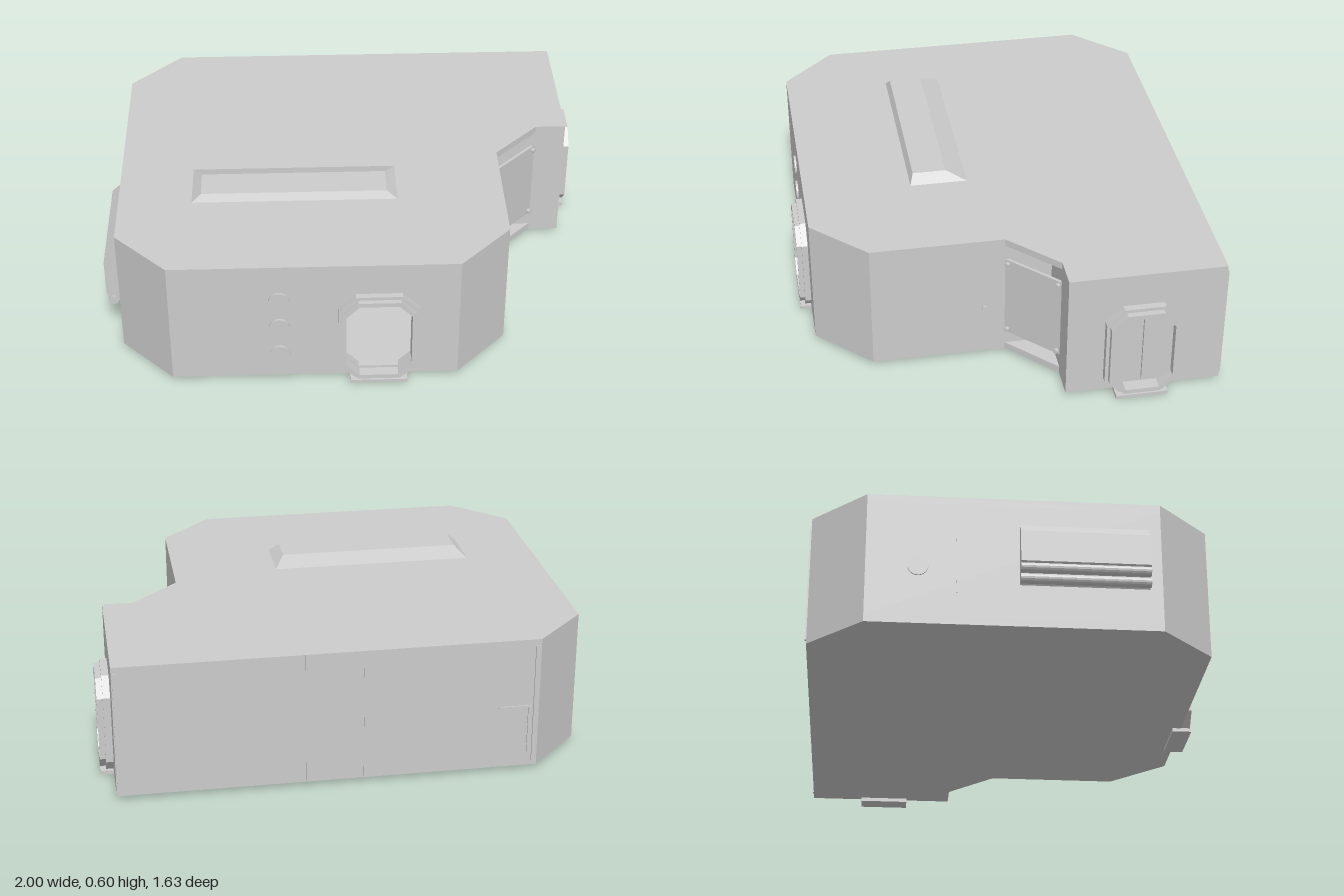
import * as THREE from 'three';

const mat = new THREE.MeshStandardMaterial({ color: 0xcccccc, flatShading: true, side: THREE.DoubleSide });

// Footprint corners as [x, z]; the slabs span the notch with a diagonal, the walls step into it
const east = [[-0.73, -0.817], [0.947, -0.817], [0.947, -0.19]];
const west = [[0.63, 0.54], [0.42, 0.757], [-0.73, 0.757], [-0.942, 0.54], [-0.942, -0.6]];
const slabOutline = [...east, [0.82, -0.19], [0.63, 0], ...west];
const wallOutline = [...east, [0.63, -0.19], ...west];
const FLOOR = 0.018, ROOF = 0.566, PLATE = 0.03;

function add(parent, name, geometry, x = 0, y = 0, z = 0) {
  const mesh = new THREE.Mesh(geometry, mat);
  mesh.name = name;
  mesh.position.set(x, y, z);
  parent.add(mesh);
  return mesh;
}

const box = (parent, name, w, h, d, x, y, z) => add(parent, name, new THREE.BoxGeometry(w, h, d), x, y, z);
const polygon = (pts) => new THREE.Shape(pts.map(([x, y]) => new THREE.Vector2(x, y)));
const extrude = (shape, depth) => new THREE.ExtrudeGeometry(shape, { depth, bevelEnabled: false });

// Rectangle with cut corners, centred on (cx, cy)
function octagon(w, h, c, cx = 0, cy = 0) {
  const x = w / 2, y = h / 2;
  return [[-x + c, -y], [x - c, -y], [x, -y + c], [x, y - c], [x - c, y], [-x + c, y], [-x, y - c], [-x, -y + c]]
    .map(([a, b]) => [a + cx, b + cy]);
}

function slab(parent, name, y) {
  const geo = extrude(polygon(slabOutline.map(([x, z]) => [x, -z])), PLATE);
  geo.rotateX(-Math.PI / 2);
  add(parent, name, geo, 0, y, 0);
}

// Upright panel between two footprint corners, its outer face on the outline
function wall(parent, name, a, b, hole) {
  const length = Math.hypot(a[0] - b[0], a[1] - b[1]);
  const low = FLOOR + PLATE, high = ROOF - PLATE;
  const shape = polygon([[0, low], [length, low], [length, high], [0, high]]);
  if (hole) shape.holes.push(polygon(hole));
  const geo = extrude(shape, PLATE);
  geo.translate(0, 0, -PLATE);
  add(parent, name, geo, b[0], 0, b[1]).rotation.y = Math.atan2(b[1] - a[1], a[0] - b[0]);
}

// Stepped door surround facing local +z
function doorFrame(name, w, h, depth) {
  const group = new THREE.Group();
  group.name = name;
  const tiers = [[w, h, 0.068, depth * 0.55], [w - 0.028, h - 0.028, 0.062, depth]];
  for (const [tw, th, cut, d] of tiers) {
    const shape = polygon(octagon(tw, th, cut));
    shape.holes.push(polygon(octagon(w - 0.06, h - 0.065, 0.052)));
    add(group, 'frameTier', extrude(shape, d));
  }
  box(group, 'doorSill', w - 0.09, 0.016, 0.08, 0, -h / 2 - 0.001, depth - 0.04);
  return group;
}

// Flat-topped block whose four sides slope by different amounts
function roofBlister(parent) {
  const base = [[-0.65, 0.32], [0.2, 0.32], [0.2, 0.07], [-0.65, 0.07]];
  const top = [[-0.605, 0.302], [0.15, 0.302], [0.15, 0.165], [-0.605, 0.165]];
  const geo = new THREE.BoxGeometry(1, 1, 1);
  const p = geo.attributes.position;
  for (let i = 0; i < p.count; i++) {
    const corner = p.getZ(i) > 0 ? (p.getX(i) < 0 ? 0 : 1) : (p.getX(i) > 0 ? 2 : 3);
    const up = p.getY(i) > 0;
    const [x, z] = (up ? top : base)[corner];
    p.setXYZ(i, x, up ? 0.598 : ROOF - 0.005, z);
  }
  geo.computeVertexNormals();
  add(parent, 'roofBlister', geo);
}

export function createModel() {
  const model = new THREE.Group();
  model.name = 'habitatModule';

  // Hollow hull
  slab(model, 'floorSlab', FLOOR);
  slab(model, 'roofSlab', ROOF - PLATE);
  wallOutline.forEach((a, i) => {
    const b = wallOutline[(i + 1) % wallOutline.length];
    const isFront = a[1] > 0.75 && b[1] > 0.75;
    wall(model, 'hullWall', a, b, isFront && octagon(0.26, 0.35, 0.05, 0.1 - b[0], 0.23));
  });
  roofBlister(model);

  // Open front doorway
  const front = doorFrame('frontDoorFrame', 0.32, 0.415, 0.045);
  front.position.set(0.1, 0.22, 0.757);
  model.add(front);

  // Closed side doorway with two leaves
  const side = doorFrame('sideDoorFrame', 0.3, 0.415, 0.053);
  side.position.set(0.947, 0.217, -0.49);
  side.rotation.y = Math.PI / 2;
  for (const s of [-1, 1]) box(side, 'doorLeaf', 0.119, 0.31, 0.012, s * 0.0615, 0, 0.012);
  box(side, 'doorBacking', 0.22, 0.34, 0.004, 0, 0, 0.004);
  model.add(side);

  // Diagonal access panel across the notch, with corner studs
  const panel = new THREE.Group();
  panel.name = 'accessPanel';
  panel.position.set(0.725, 0.29, -0.095);
  panel.rotation.y = Math.PI / 4;
  box(panel, 'panelSheet', 0.268, 0.36, 0.012, 0, 0, -0.006);
  for (const x of [-0.12, 0.12]) for (const y of [-0.163, 0.163]) {
    const stud = add(panel, 'panelStud', new THREE.CylinderGeometry(0.01, 0.01, 0.016, 10), x, y, 0.006);
    stud.rotation.x = Math.PI / 2;
  }
  model.add(panel);

  // Round ports on the front wall and one on the left-hand end
  for (const y of [0.13, 0.268, 0.4]) {
    add(model, 'frontPort', new THREE.CylinderGeometry(0.042, 0.042, 0.016, 24), -0.295, y, 0.758).rotation.x = Math.PI / 2;
  }
  add(model, 'endPort', new THREE.CylinderGeometry(0.04, 0.04, 0.012, 24), -0.942, 0.26, -0.4).rotation.z = Math.PI / 2;
  box(model, 'endSeam', 0.004, 0.3, 0.006, -0.943, 0.3, -0.25);
  add(model, 'wallKnob', new THREE.CylinderGeometry(0.012, 0.012, 0.014, 10), 0.634, 0.237, 0.08).rotation.z = Math.PI / 2;

  // Equipment housing on the end wall with pipes under it
  const housing = polygon([[-0.94, 0.455], [-1, 0.4], [-1, 0.27], [-0.975, 0.24], [-0.94, 0.19]]);
  add(model, 'equipmentHousing', extrude(housing, 0.5), 0, 0, -0.01);
  for (const [x, y] of [[-0.98, 0.25], [-0.972, 0.207]]) {
    add(model, 'housingPipe', new THREE.CylinderGeometry(0.02, 0.02, 0.5, 16), x, y, 0.24).rotation.x = Math.PI / 2;
  }
  box(model, 'housingRib', 0.004, 0.012, 0.48, -0.998, 0.33, 0.24);

  // Back wall seams, corner strips and handrail
  for (const x of [-0.03, 0.2]) box(model, 'backSeam', 0.007, 0.545, 0.004, x, 0.292, -0.817);
  for (const x of [0.935, -0.715]) box(model, 'cornerStrip', 0.016, 0.5, 0.014, x, 0.29, -0.817);
  box(model, 'handrail', 0.13, 0.007, 0.01, -0.635, 0.28, -0.818);
  box(model, 'handrailPost', 0.007, 0.2, 0.01, -0.69, 0.18, -0.818);

  // Fittings inside, seen through the front doorway
  box(model, 'innerColumn', 0.06, 0.488, 0.06, 0.17, 0.292, -0.25);
  box(model, 'innerPost', 0.014, 0.488, 0.014, 0.125, 0.292, -0.1);
  box(model, 'innerBench', 0.18, 0.09, 0.16, 0.09, 0.093, -0.4);
  box(model, 'innerShelf', 0.3, 0.014, 0.12, 0.05, 0.235, -0.5);
  box(model, 'innerCabinet', 0.1, 0.34, 0.18, 0.26, 0.218, -0.4);

  return model;
}
